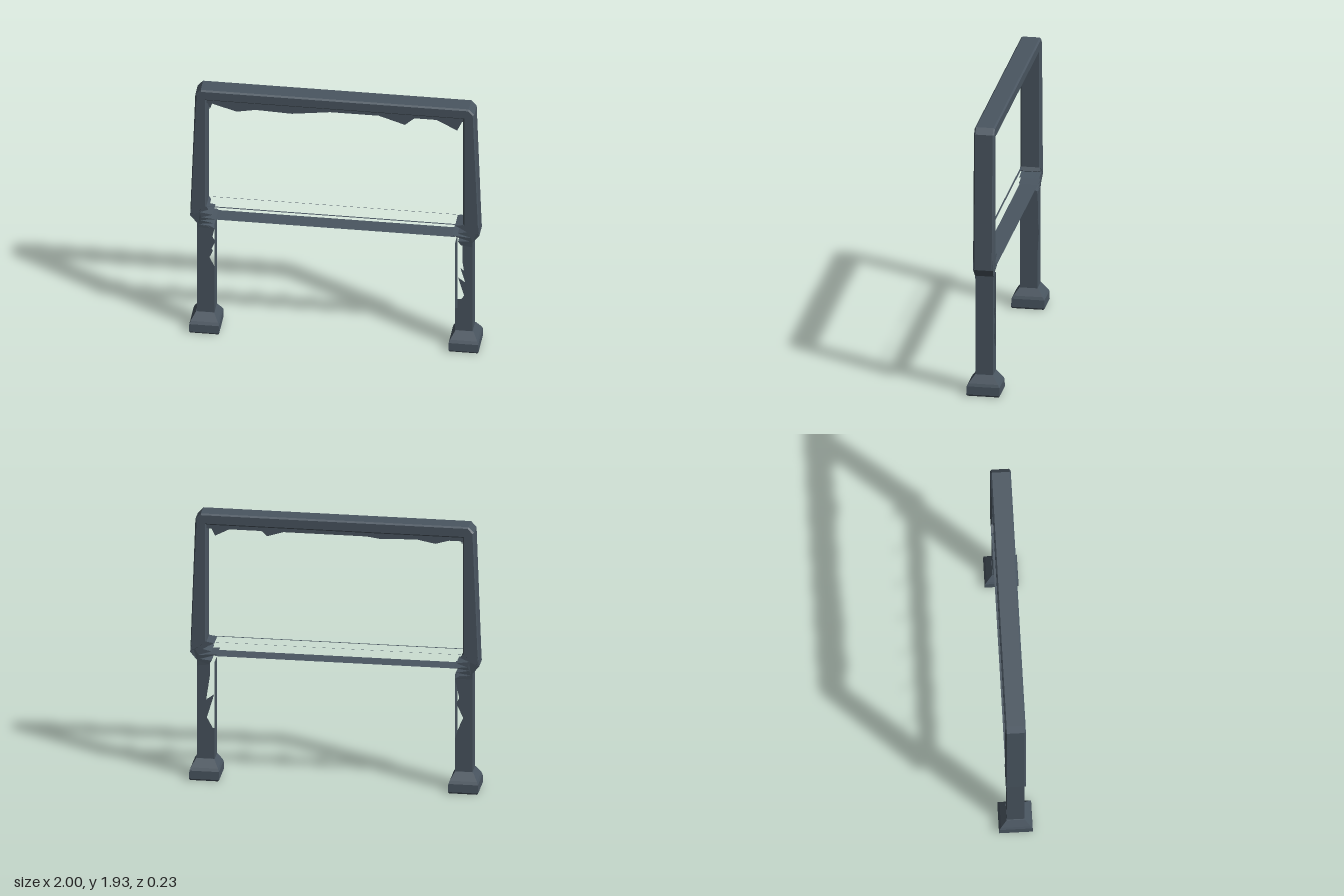
import * as THREE from 'three';

const slate = new THREE.MeshStandardMaterial({ color: 0x4a5661, side: THREE.DoubleSide });
slate.name = 'dark slate';

const shapeOf = (pts, s = 1) => new THREE.Shape(pts.map(([x, y]) => new THREE.Vector2(x * s, y)));

// closed stack of rectangular sections: [y, half width, half depth]
function loft(sections) {
  const pos = [];
  const ring = ([y, a, b]) => [[-a, y, b], [a, y, b], [a, y, -b], [-a, y, -b]];
  const quad = (a, b, c, d) => pos.push(...a, ...b, ...c, ...a, ...c, ...d);
  const rings = sections.map(ring);
  for (let i = 0; i < rings.length - 1; i++) {
    for (let k = 0; k < 4; k++) {
      const n = (k + 1) % 4;
      quad(rings[i][k], rings[i][n], rings[i + 1][n], rings[i + 1][k]);
    }
  }
  quad(...rings[0].slice().reverse());
  quad(...rings[rings.length - 1]);
  const g = new THREE.BufferGeometry();
  g.setAttribute('position', new THREE.Float32BufferAttribute(pos, 3));
  g.computeVertexNormals();
  return g;
}

export function createModel() {
  const model = new THREE.Group();
  const add = (name, geometry, x = 0, y = 0, z = 0, parent = model) => {
    const m = new THREE.Mesh(geometry, slate);
    m.name = name;
    m.position.set(x, y, z);
    parent.add(m);
    return m;
  };

  // upper frame: one bevelled arch, posts leaning slightly outwards
  const bevel = 0.01;
  const half = [[0.99, 0.93], [0.952, 1.885], [0.92, 1.92]];
  const inner = [[0.895, 1.86], [0.895, 0.99]];
  const arch = [
    ...half, ...half.slice().reverse().map(([x, y]) => [-x, y]),
    ...inner.slice().reverse().map(([x, y]) => [-x, y]), ...inner,
  ];
  add('upperFrame', new THREE.ExtrudeGeometry(shapeOf(arch), {
    depth: 0.12, bevelEnabled: true, bevelThickness: bevel, bevelSize: bevel, bevelSegments: 1,
  }), 0, 0, -0.06);
  add('innerLip', new THREE.BoxGeometry(1.78, 0.04, 0.1), 0, 1.84, 0);

  // broken pieces hanging from the top bar
  const shards = [
    [-0.885, 1.83], [-0.865, 1.765], [-0.85, 1.81], [-0.68, 1.76], [-0.55, 1.785], [-0.3, 1.775],
    [0.05, 1.822], [0.27, 1.82], [0.48, 1.752], [0.55, 1.815], [0.68, 1.82], [0.84, 1.737],
    [0.87, 1.8], [0.885, 1.83],
  ];
  add('hangingShards', new THREE.ShapeGeometry(shapeOf(shards)), 0, 0, 0.035);

  // sill sheet and the slivers left above it
  const sheet = (w, d) => new THREE.PlaneGeometry(w, d).rotateX(-Math.PI / 2);
  add('sill', sheet(1.66, 0.125), 0, 0.895, 0);
  add('frontSliver', sheet(1.76, 0.012), 0, 0.995, 0.06);
  add('backSliver', sheet(1.76, 0.003), 0, 0.998, -0.065);

  // torn inner edges, listed upwards, as distances from the centre plane
  const sides = [
    {
      name: 'left', s: 1,
      leg: [[0.83, 0.32], [0.86, 0.325], [0.9, 0.4], [0.85, 0.57], [0.905, 0.53], [0.88, 0.7], [0.88, 0.84]],
      joint: [[0.87, 0.83], [0.85, 0.86], [0.93, 0.87], [0.81, 0.91], [0.94, 0.9], [0.85, 0.93],
        [0.91, 0.945], [0.87, 0.97], [0.83, 0.99]],
    },
    {
      name: 'right', s: -1,
      leg: [[0.83, 0.38], [0.85, 0.45], [0.89, 0.53], [0.84, 0.64], [0.86, 0.68], [0.83, 0.82], [0.86, 0.84]],
      joint: [[0.83, 0.82], [0.94, 0.85], [0.84, 0.865], [0.93, 0.885], [0.82, 0.9], [0.92, 0.91],
        [0.84, 0.935], [0.93, 0.95], [0.87, 0.975]],
    },
  ];

  for (const { name, s, leg, joint } of sides) {
    const post = new THREE.Group();
    post.name = name + 'Support';
    model.add(post);

    // hollow leg: torn front and back faces between two side walls
    const face = new THREE.ShapeGeometry(shapeOf([[0.95, 0.12], [0.83, 0.12], ...leg, [0.95, 0.85]], s));
    for (const z of [0.06, -0.06]) add('legFace', face, 0, 0, z, post);
    const wall = new THREE.PlaneGeometry(0.12, 0.74).rotateY(s * Math.PI / 2);
    add('legOuterWall', wall, s * 0.95, 0.48, 0, post);
    add('legInnerWall', wall, s * 0.83, 0.48, 0, post);

    // splintered joint, tapering from the frame down to the leg
    const outline = [[0.997, 0.92], [0.95, 0.86], [0.95, 0.82], ...joint, [0.885, 1.0], [0.99, 0.99]];
    const jg = new THREE.ExtrudeGeometry(shapeOf(outline, s), { depth: 2, bevelEnabled: false });
    jg.translate(0, 0, -1);
    const p = jg.attributes.position;
    for (let i = 0; i < p.count; i++) {
      const t = THREE.MathUtils.clamp((p.getY(i) - 0.83) / 0.08, 0, 1);
      p.setZ(i, p.getZ(i) * (0.06 + 0.009 * t));
    }
    jg.computeVertexNormals();
    add('brokenJoint', jg, 0, 0, 0, post);

    // flared foot
    add('foot', loft([
      [0, 0.096, 0.108], [0.012, 0.104, 0.116], [0.07, 0.102, 0.114],
      [0.09, 0.094, 0.102], [0.145, 0.062, 0.062],
    ]), s * 0.894, 0, 0, post);
  }
  return model;
}
